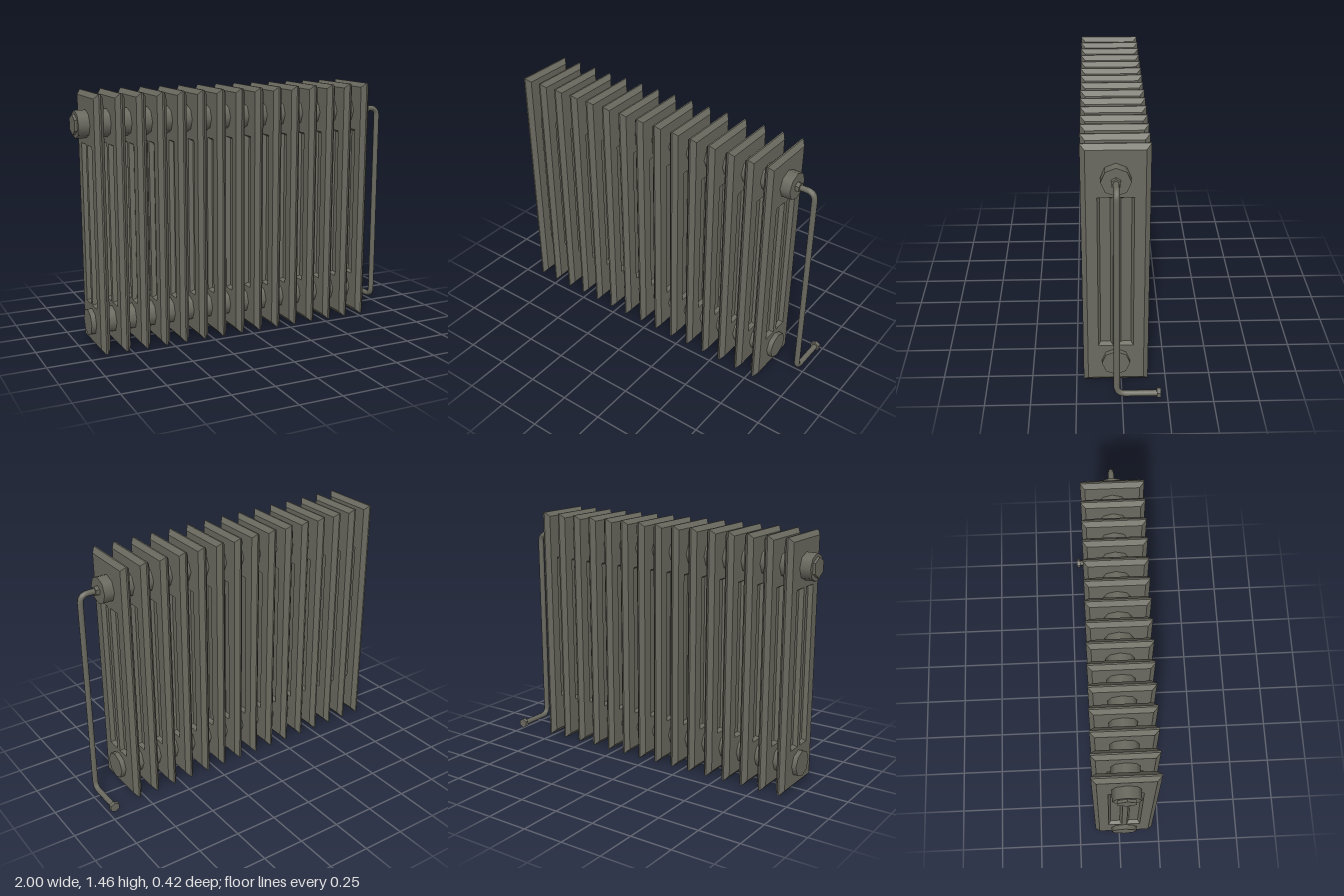
import * as THREE from 'three';

const MID_Z = 0.03;     // centre plane of the fins and headers
const TOP_Y = 1.28, LOW_Y = 0.145;

function rect(Type, x0, y0, x1, y1) {
  return new Type([[x0, y0], [x1, y0], [x1, y1], [x0, y1]].map(p => new THREE.Vector2(...p)));
}

// Bevelled plate in the z-y plane, centred on x = 0
function plate(shape, bevelSize) {
  const depth = 0.009;
  const g = new THREE.ExtrudeGeometry(shape, {
    depth, bevelThickness: 0.0225, bevelSize, bevelSegments: 1, curveSegments: 1,
  });
  g.translate(0, 0, -depth / 2);
  return g.rotateY(-Math.PI / 2);
}

// Faceted hexagonal fitting with a corner pointing up
function hexGeometry(radius, length, axis) {
  let g = new THREE.CylinderGeometry(radius, radius, length, 6, 1, false, axis === 'x' ? Math.PI / 2 : 0);
  if (axis === 'x') g.rotateZ(Math.PI / 2); else g.rotateX(Math.PI / 2);
  g = g.toNonIndexed();
  g.computeVertexNormals();
  return g;
}

export function createModel() {
  const root = new THREE.Group();
  root.name = 'columnRadiator';
  const iron = new THREE.MeshStandardMaterial({ color: 0x6b6a60 });
  iron.name = 'oliveGreyIron';

  function add(parent, name, geometry, x = 0, y = 0, z = 0) {
    const m = new THREE.Mesh(geometry, iron);
    m.name = name;
    m.position.set(x, y, z);
    parent.add(m);
    return m;
  }

  // Fin: sharp-edged rim, slotted centre plate and thin web at the slot floors
  const B = 0.026;
  const rim = rect(THREE.Shape, -0.15 + B, B, 0.21 - B, 1.455 - B);
  rim.holes.push(rect(THREE.Path, -0.09, 0.2, 0.15, 1.2));
  const rimGeo = plate(rim, B);

  const core = rect(THREE.Shape, -0.09, 0.2, 0.15, 1.2);
  core.holes.push(rect(THREE.Path, 0.045, 0.245, 0.126, 1.165));
  core.holes.push(rect(THREE.Path, -0.066, 0.245, 0.015, 1.165));
  const coreGeo = plate(core, 0.013);
  const webGeo = new THREE.BoxGeometry(0.008, 0.96, 0.22);

  for (let i = 0; i < 15; i++) {
    const fin = new THREE.Group();
    fin.name = 'fin' + (i + 1);
    fin.position.x = -0.895 + i * 0.1196;
    add(fin, 'finRim', rimGeo);
    add(fin, 'finSlottedPlate', coreGeo);
    add(fin, 'finWeb', webGeo, 0, 0.705, MID_Z);
    root.add(fin);
  }

  // Upper and lower headers running through the fins
  for (const [name, x0, x1, y] of [
    ['upperHeader', -0.985, 0.865, TOP_Y],
    ['lowerHeader', -0.95, 0.835, LOW_Y],
  ]) {
    const g = new THREE.CylinderGeometry(0.078, 0.078, x1 - x0, 8).rotateZ(Math.PI / 2);
    add(root, name, g, (x0 + x1) / 2, y, MID_Z);
  }

  // End plug and outlet nut on the upper header
  add(root, 'endPlug', hexGeometry(0.058, 0.03, 'x'), -0.985, TOP_Y, MID_Z);
  add(root, 'outletNut', hexGeometry(0.028, 0.03, 'x'), 0.872, TOP_Y, MID_Z);

  // Supply pipe: out of the header, down the side, then to the back
  const px = 0.972, py = 0.046, r = 0.05;
  const v = (x, y, z) => new THREE.Vector3(x, y, z);
  const path = new THREE.CurvePath();
  path.add(new THREE.LineCurve3(v(0.87, TOP_Y, MID_Z), v(px - r, TOP_Y, MID_Z)));
  path.add(new THREE.QuadraticBezierCurve3(v(px - r, TOP_Y, MID_Z), v(px, TOP_Y, MID_Z), v(px, TOP_Y - r, MID_Z)));
  path.add(new THREE.LineCurve3(v(px, TOP_Y - r, MID_Z), v(px, py + r, MID_Z)));
  path.add(new THREE.QuadraticBezierCurve3(v(px, py + r, MID_Z), v(px, py, MID_Z), v(px, py, MID_Z - r)));
  path.add(new THREE.LineCurve3(v(px, py, MID_Z - r), v(px, py, -0.2)));
  add(root, 'supplyPipe', new THREE.TubeGeometry(path, 120, 0.017, 8));

  // Nut at the free end of the pipe
  add(root, 'pipeEndNut', hexGeometry(0.03, 0.022, 'z'), px, py + 0.001, -0.199);

  return root;
}
